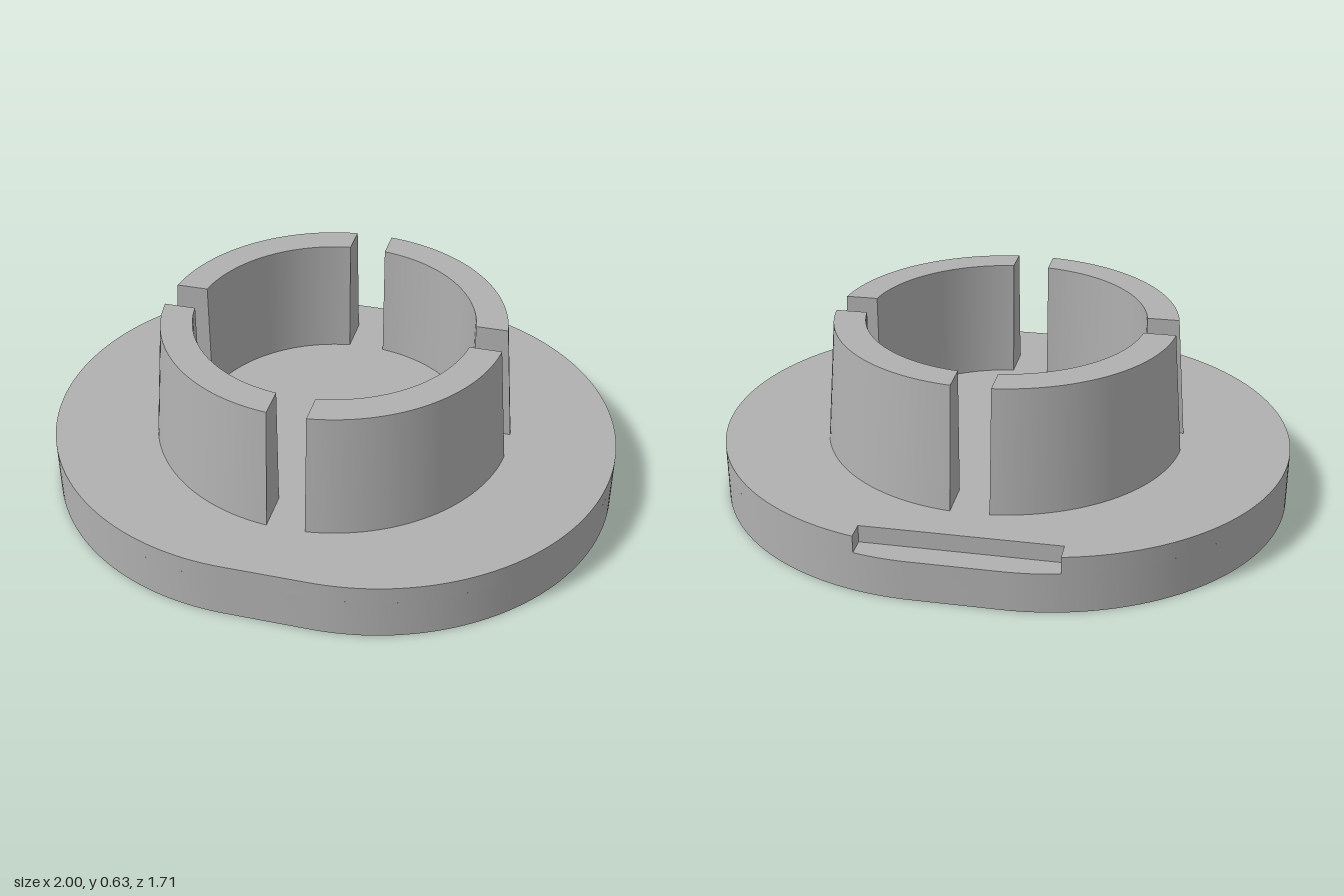
import * as THREE from 'three';
import { toCreasedNormals } from 'three/addons/utils/BufferGeometryUtils.js';

const R = 0.857, FLAT = 0.143;            // base end radius and half length of its straight sides
const BASE_H = 0.2, LEDGE_H = 0.14;       // base top and notch floor
const NOTCH_X = 0.33, NOTCH_Z = 0.77;     // notch half width and inner edge
const A = Math.acos((NOTCH_X - FLAT) / R); // angle where the notch meets the rim
const GAP = 0.065;                        // half width of the slots between prongs

// Base outline, whole or with the back notch cut out (shape +y is the back)
function outline(notched) {
  const end = notched ? A : Math.PI / 2;
  const s = new THREE.Shape();
  s.moveTo(-FLAT, -R);
  s.lineTo(FLAT, -R);
  s.absarc(FLAT, 0, R, -Math.PI / 2, end);
  if (notched) {
    s.lineTo(NOTCH_X, NOTCH_Z);
    s.lineTo(-NOTCH_X, NOTCH_Z);
  }
  s.absarc(-FLAT, 0, R, Math.PI - end, Math.PI * 1.5);
  return s;
}

// Floor of the notch
function notchOutline() {
  const s = new THREE.Shape();
  s.moveTo(-NOTCH_X, NOTCH_Z);
  s.lineTo(NOTCH_X, NOTCH_Z);
  s.absarc(FLAT, 0, R, A, Math.PI / 2);
  s.absarc(-FLAT, 0, R, Math.PI / 2, Math.PI - A);
  return s;
}

// Upright wall around a shape, without its caps
function wall(shape, y, height) {
  const full = new THREE.ExtrudeGeometry(shape, { depth: height, bevelEnabled: false, curveSegments: 48 });
  const side = full.groups[1];
  const p = full.getAttribute('position').array.slice(side.start * 3, (side.start + side.count) * 3);
  const g = new THREE.BufferGeometry();
  g.setAttribute('position', new THREE.BufferAttribute(p, 3));
  return toCreasedNormals(g.rotateX(-Math.PI / 2).translate(0, y, 0), 0.4);
}

// Flat face at a height
function cap(shape, y) {
  return new THREE.ShapeGeometry(shape, 48).rotateX(-Math.PI / 2).translate(0, y, 0);
}

// Quarter ring with a tapered outer face and ends cut parallel to the slots
function prongGeometry() {
  const profile = [[0.629, BASE_H], [0.594, 0.63], [0.485, 0.63], [0.485, BASE_H]];
  const steps = 32, pos = [], index = [];
  const corner = ([r, y], t) => {
    const a0 = Math.asin(GAP / r);
    const a = a0 + (Math.PI / 2 - 2 * a0) * t;
    return [r * Math.cos(a), y, r * Math.sin(a)];
  };
  // outer, top and inner faces
  for (let k = 0; k < 3; k++) {
    const start = pos.length / 3;
    for (let i = 0; i <= steps; i++) {
      pos.push(...corner(profile[k], i / steps), ...corner(profile[k + 1], i / steps));
      if (i < steps) {
        const a = start + i * 2;
        index.push(a, a + 1, a + 2, a + 1, a + 3, a + 2);
      }
    }
  }
  // slot faces
  for (const t of [0, 1]) {
    const s = pos.length / 3;
    for (const p of profile) pos.push(...corner(p, t));
    if (t === 0) index.push(s, s + 3, s + 2, s, s + 2, s + 1);
    else index.push(s, s + 2, s + 3, s, s + 1, s + 2);
  }
  const g = new THREE.BufferGeometry();
  g.setAttribute('position', new THREE.Float32BufferAttribute(pos, 3));
  g.setIndex(index);
  g.computeVertexNormals();
  return g;
}

export function createModel() {
  const model = new THREE.Group();
  model.name = 'slottedCap';
  const grey = new THREE.MeshStandardMaterial({ color: 0xb0b0b0 });
  grey.name = 'grey';
  const add = (parent, geometry, name) => {
    const m = new THREE.Mesh(geometry, grey);
    m.name = name;
    parent.add(m);
    return m;
  };

  // Base plate
  const base = new THREE.Group();
  base.name = 'base';
  model.add(base);
  add(base, wall(outline(false), 0, LEDGE_H), 'lowerRim');
  add(base, wall(outline(true), LEDGE_H, BASE_H - LEDGE_H), 'upperRim');
  add(base, cap(outline(true), BASE_H), 'baseTop');
  add(base, cap(notchOutline(), LEDGE_H), 'notchFloor');
  add(base, cap(outline(false), 0).rotateX(Math.PI), 'baseBottom');

  // Four prongs
  const prong = prongGeometry();
  for (let i = 0; i < 4; i++) {
    add(model, prong, 'prong' + (i + 1)).rotation.y = i * Math.PI / 2;
  }
  return model;
}
